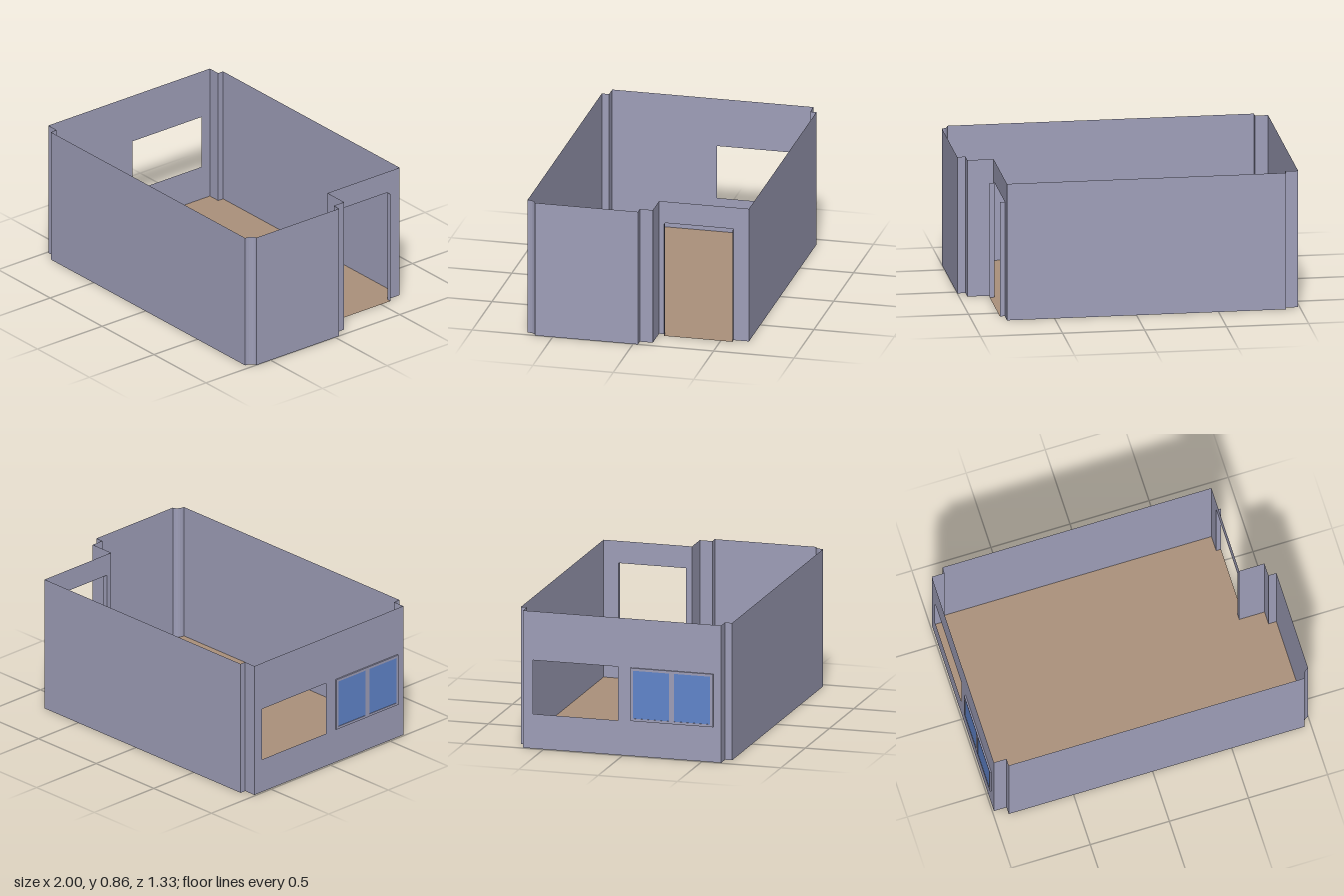
import * as THREE from 'three';

const H = 0.855;                                   // wall height
const rect = (u0, y0, u1, y1) => [[u0, y0], [u1, y0], [u1, y1], [u0, y1]].map(p => new THREE.Vector2(...p));

export function createModel() {
  const wallMat = new THREE.MeshStandardMaterial({ color: 0x9f9fb9, side: THREE.DoubleSide });
  wallMat.name = 'wall grey';
  const floorMat = new THREE.MeshStandardMaterial({ color: 0xab917b, side: THREE.DoubleSide });
  floorMat.name = 'floor tan';
  const glassMat = new THREE.MeshStandardMaterial({ color: 0x6085cc });
  glassMat.name = 'glass blue';

  const room = new THREE.Group();
  room.name = 'room';

  // Upright sheet from plan point a to plan point b, facing outward
  function panel(name, a, b, outline, hole) {
    const dir = new THREE.Vector3(b[0] - a[0], 0, b[1] - a[1]);
    const length = dir.length();
    dir.normalize();
    const up = new THREE.Vector3(0, 1, 0);
    const shape = new THREE.Shape(outline || rect(0, 0, length, H));
    if (hole) shape.holes.push(new THREE.Path(hole));
    const geo = new THREE.ShapeGeometry(shape);
    geo.applyMatrix4(new THREE.Matrix4()
      .makeBasis(dir, up, new THREE.Vector3().crossVectors(dir, up))
      .setPosition(a[0], 0, a[1]));
    const mesh = new THREE.Mesh(geo, wallMat);
    mesh.name = name;
    room.add(mesh);
  }

  // Plan of the room, anticlockwise from the front left, as [x, z]
  const cove = [];
  for (let i = 0; i <= 6; i++) {
    const t = (i / 6) * Math.PI / 2;
    cove.push([1 - 0.04 * Math.cos(t), 0.665 - 0.055 * Math.sin(t)]);
  }
  const plan = [
    [-0.99, 0.62], [-0.91, 0.62], [-0.91, 0.665], ...cove,
    [1, -0.03], [0.95, -0.03], [0.95, -0.11], [0.79, -0.11],
    [0.79, -0.668], [-0.91, -0.668], [-0.91, -0.63], [-0.99, -0.63],
  ];

  // Walls: the doorway is notched out of one, the window cut through another
  const doorIndex = plan.findIndex(p => p[0] === 0.79 && p[1] === -0.11);
  plan.forEach((a, i) => {
    const b = plan[(i + 1) % plan.length];
    if (i === doorIndex) {
      const L = 0.558, d0 = 0.037, d1 = 0.463, dh = 0.717;
      const pts = [[0, 0], [d0, 0], [d0, dh], [d1, dh], [d1, 0], [L, 0], [L, H], [0, H]];
      panel('doorWall', a, b, pts.map(p => new THREE.Vector2(...p)));
    } else if (i === plan.length - 1) {
      panel('windowWall', a, b, null, rect(0.063, 0.215, 0.6, 0.55));
    } else {
      panel('wall', a, b);
    }
  });

  // Door jambs standing out from the wall
  for (const z of [-0.147, -0.573]) panel('doorJamb', [0.79, z], [0.82, z], rect(0, 0, 0.03, 0.717));

  // Floor with the door threshold
  const floorPts = plan.slice();
  floorPts.splice(doorIndex + 1, 0, [0.79, -0.147], [0.82, -0.147], [0.82, -0.573], [0.79, -0.573]);
  const floorGeo = new THREE.ShapeGeometry(new THREE.Shape(floorPts.map(([x, z]) => new THREE.Vector2(x, -z))));
  floorGeo.rotateX(-Math.PI / 2);
  const floor = new THREE.Mesh(floorGeo, floorMat);
  floor.name = 'floor';
  room.add(floor);

  // Two glazed sashes on the outside of the window wall
  const box = (parent, name, mat, w, h, d, x, y, z) => {
    const mesh = new THREE.Mesh(new THREE.BoxGeometry(w, h, d), mat);
    mesh.name = name;
    mesh.position.set(x, y, z);
    parent.add(mesh);
  };
  const sashW = 0.26, sashH = 0.33, bar = 0.016;
  for (const z of [0.18, 0.44]) {
    const sash = new THREE.Group();
    sash.name = 'windowSash';
    sash.position.set(-0.995, 0.385, z);
    for (const s of [-1, 1]) {
      box(sash, 'sashRail', wallMat, 0.01, bar, sashW, 0, s * (sashH - bar) / 2, 0);
      box(sash, 'sashStile', wallMat, 0.01, sashH - 2 * bar, bar, 0, 0, s * (sashW - bar) / 2);
    }
    box(sash, 'windowPane', glassMat, 0.004, sashH - 2 * bar, sashW - 2 * bar, 0, 0, 0);
    room.add(sash);
  }
  return room;
}
